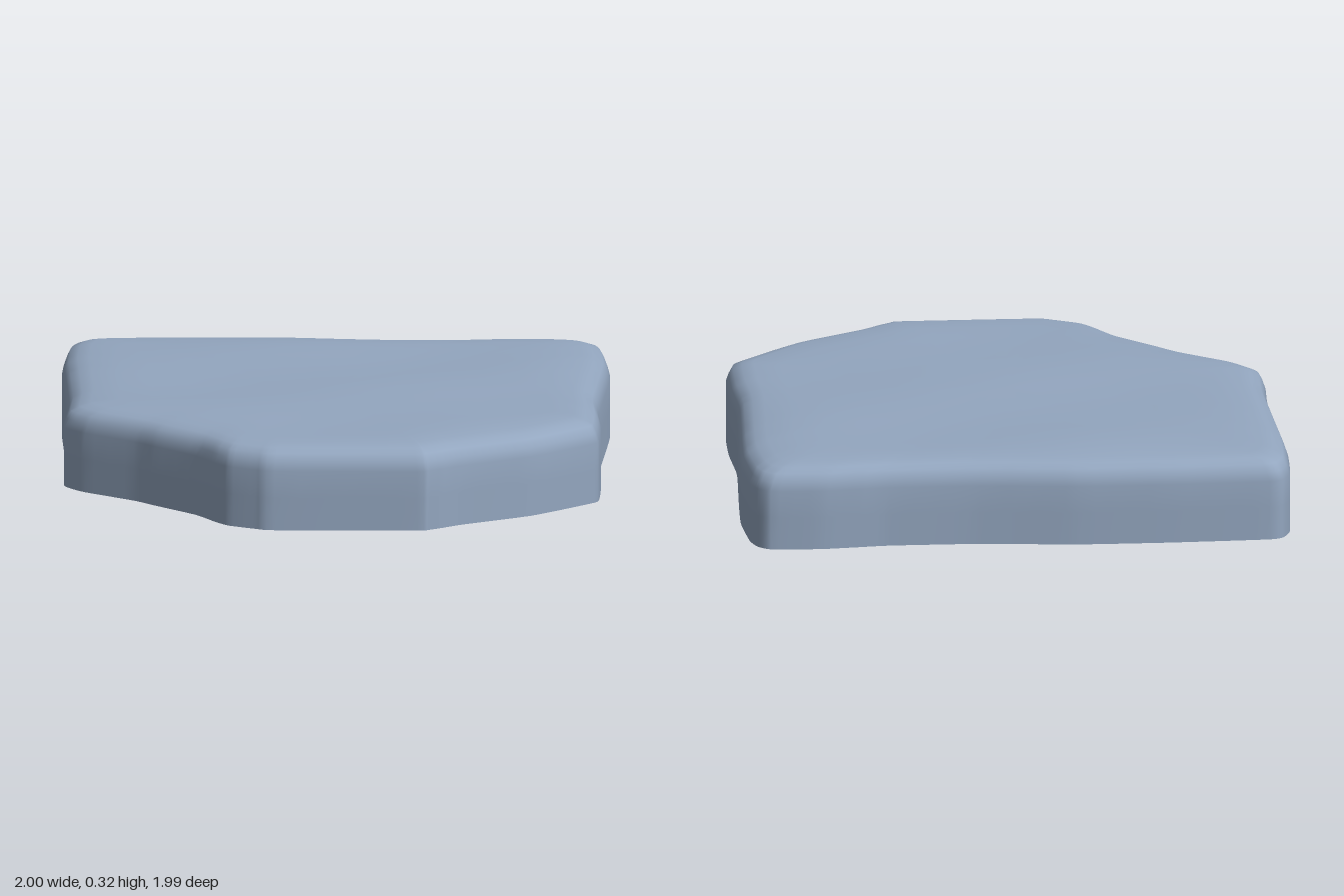
import * as THREE from 'three';

// Plan of the slab as [x, z], starting at the back right corner
const PLAN = [
  [-0.992, -0.87], [-0.963, -0.953], [-0.91, -0.98], [-0.54, -0.995], [-0.21, -0.995], [0, -0.975],
  [0.19, -0.96], [0.48, -0.96], [0.59, -0.972], [0.735, -0.987], [0.915, -0.977], [0.962, -0.935],
  [0.984, -0.86], [1, -0.64], [0.99, -0.4], [0.97, -0.05], [0.97, 0.05], [0.98, 0.24],
  [0.977, 0.43], [0.96, 0.5], [0.735, 0.725], [0.485, 0.88], [0.41, 0.94], [0.36, 0.975],
  [0.32, 0.988], [-0.2, 0.988], [-0.27, 0.965], [-0.37, 0.91], [-0.42, 0.845], [-0.49, 0.73],
  [-0.64, 0.575], [-0.72, 0.49], [-0.9, 0.35], [-0.955, 0.285], [-0.98, 0.23], [-0.973, 0],
  [-0.99, -0.4], [-1, -0.64],
];

// Rings from the foot of the wall over the rounded rim to the middle: [scale, height]
const RINGS = [
  [1, 0], [1, 0.12], [1, 0.22], [0.989, 0.252], [0.975, 0.28], [0.942, 0.295], [0.9, 0.306],
  [0.8, 0.309], [0.68, 0.31], [0.54, 0.31], [0.4, 0.31], [0.26, 0.31], [0.12, 0.31],
];
const CENTRE_Z = -0.05;
const SEGMENTS = 152;

// Gentle unevenness of the top face, fading out at the rim
function bump(x, z, scale) {
  const fade = THREE.MathUtils.smoothstep(1 - scale, 0.06, 0.3);
  const wave = Math.sin(4.6 * x + 1.2 * z + 0.8) * Math.cos(4.8 * z - 1.1 * x);
  return fade * (0.005 + 0.008 * wave);
}

function slabGeometry() {
  // Low tension keeps the runs between corners nearly straight
  const curve = new THREE.CatmullRomCurve3(
    PLAN.map(([x, z]) => new THREE.Vector3(x, 0, z)), true, 'catmullrom', 0.25);
  const outline = curve.getPoints(SEGMENTS).slice(0, SEGMENTS);
  const positions = [];
  const indices = [];

  for (const [scale, height] of RINGS) {
    for (const p of outline) {
      const x = p.x * scale;
      const z = CENTRE_Z + (p.z - CENTRE_Z) * scale;
      positions.push(x, height + bump(x, z, scale), z);
    }
  }
  const centre = positions.length / 3;
  positions.push(0, 0.31 + bump(0, CENTRE_Z, 0), CENTRE_Z);

  RINGS.forEach((_, r) => {
    for (let i = 0; i < SEGMENTS; i++) {
      const next = (i + 1) % SEGMENTS;
      const a = r * SEGMENTS + i;
      const b = r * SEGMENTS + next;
      if (r === RINGS.length - 1) indices.push(a, centre, b);
      else indices.push(a, a + SEGMENTS, b, b, a + SEGMENTS, b + SEGMENTS);
    }
  });

  const geometry = new THREE.BufferGeometry();
  geometry.setAttribute('position', new THREE.Float32BufferAttribute(positions, 3));
  geometry.setIndex(indices);
  geometry.computeVertexNormals();
  return geometry;
}

export function createModel() {
  const group = new THREE.Group();
  group.name = 'stoneSlab';
  // Open underneath, so the inside of the shell shows too
  const material = new THREE.MeshStandardMaterial({ color: 0x93a6bf, side: THREE.DoubleSide });
  const slab = new THREE.Mesh(slabGeometry(), material);
  slab.name = 'slabShell';
  group.add(slab);
  return group;
}
